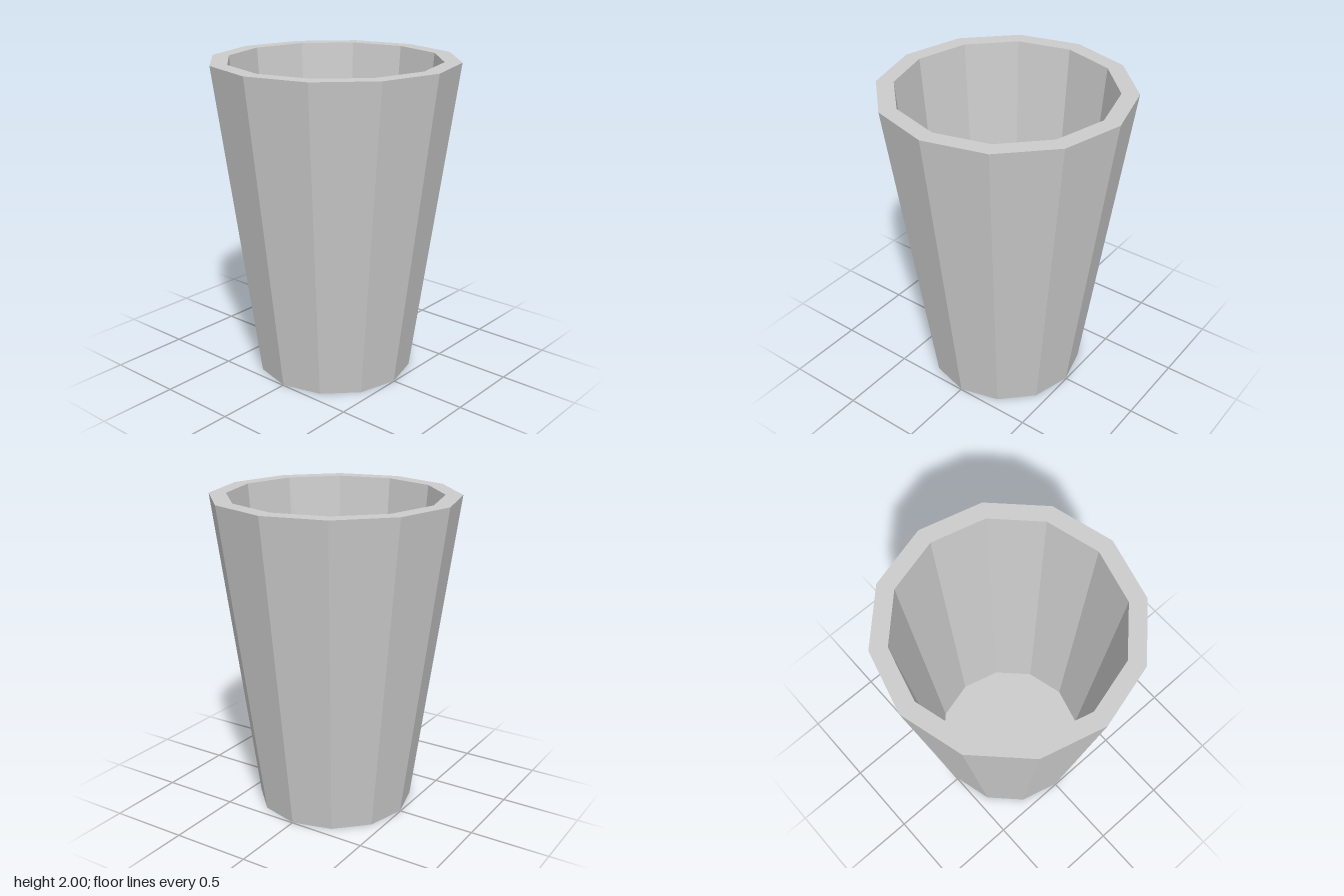
import * as THREE from 'three';

const SIDES = 12;

// Turns a profile of [radius, height] pairs into a faceted ring, listed with the solid on the left
function turned(name, profile, material) {
  const points = profile.map(([r, y]) => new THREE.Vector2(r, y));
  const mesh = new THREE.Mesh(new THREE.LatheGeometry(points, SIDES), material);
  mesh.name = name;
  return mesh;
}

export function createModel() {
  const group = new THREE.Group();
  group.name = 'cup';
  const material = new THREE.MeshStandardMaterial({ color: 0xcccccc, flatShading: true });

  const baseRadius = 0.496, topRadius = 0.765, mouthRadius = 0.66;
  const height = 2, floorY = 0.01;

  group.add(
    // underside and tapered outer wall
    turned('outerWall', [[0, 0], [baseRadius, 0], [topRadius, height]], material),
    // flat rim
    turned('rim', [[topRadius, height], [mouthRadius, height]], material),
    // inner wall narrowing to a thin floor
    turned('innerWall', [[mouthRadius, height], [baseRadius, floorY], [0, floorY]], material)
  );
  return group;
}
